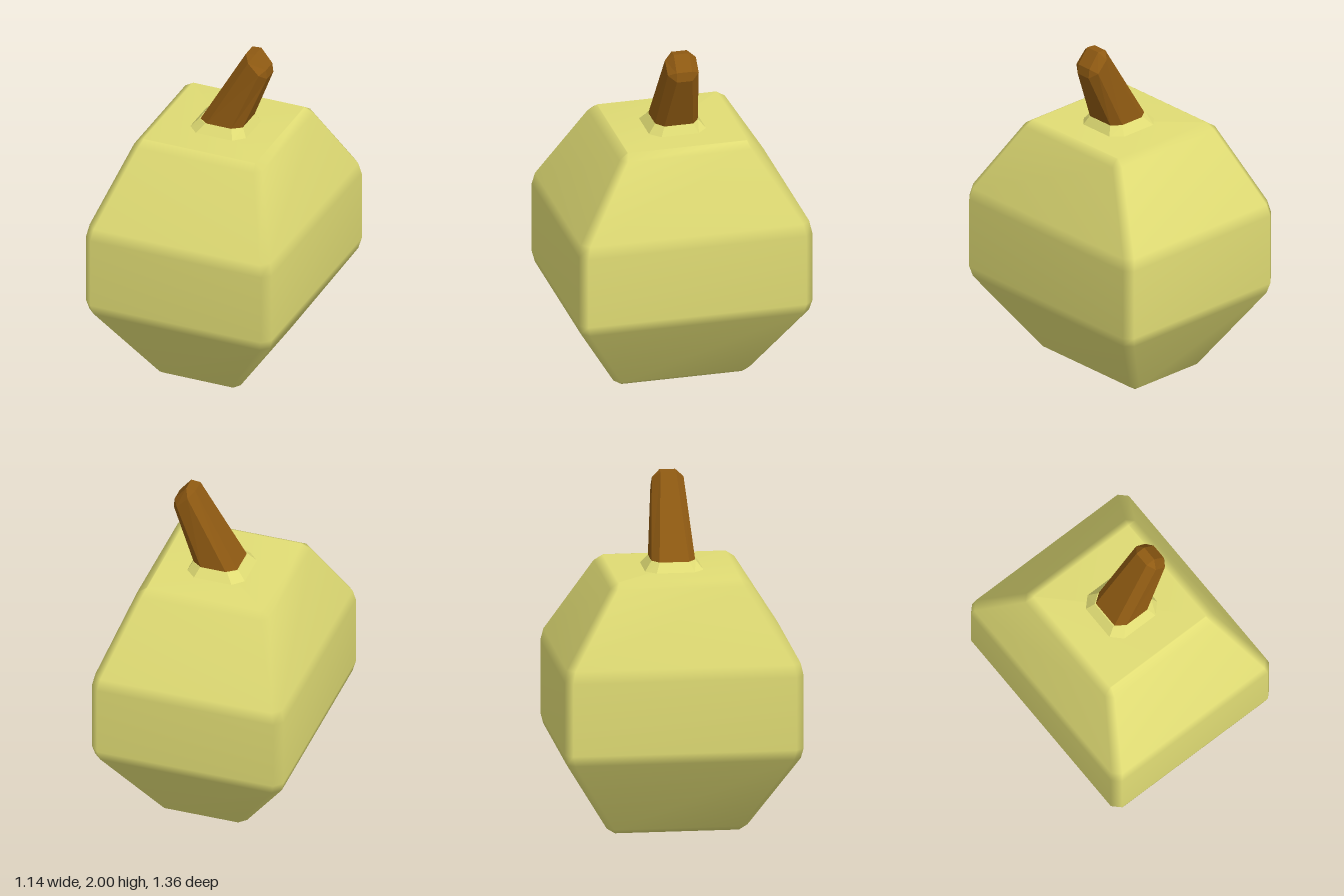
import * as THREE from 'three';

// Rectangle with cut corners, counter-clockwise from above; height runs from yL (at x0) to yR (at x1)
function ring(x0, x1, hz, cx, cz, yL, yR = yL) {
  const a = x0 + cx, b = x1 - cx, s = hz - cz;
  return [[x1, s], [x1, -s], [b, -hz], [a, -hz], [x0, -s], [x0, s], [a, hz], [b, hz]]
    .map(([x, z]) => [x, yL + (yR - yL) * (x - x0) / (x1 - x0), z]);
}

// Skin a stack of rings and close both ends
function loft(rings) {
  const n = rings[0].length, index = [];
  const last = (rings.length - 1) * n;
  for (let r = 0; r < rings.length - 1; r++) {
    for (let i = 0; i < n; i++) {
      const j = (i + 1) % n, a = r * n + i, b = r * n + j;
      index.push(a, b, b + n, a, b + n, a + n);
    }
  }
  for (let i = 1; i < n - 1; i++) {
    index.push(0, i + 1, i);
    index.push(last, last + i, last + i + 1);
  }
  const geometry = new THREE.BufferGeometry();
  geometry.setAttribute('position', new THREE.Float32BufferAttribute(rings.flat(2), 3));
  geometry.setIndex(index);
  geometry.computeVertexNormals(); // area weighted: broad faces stay flat, bevels blend
  return geometry;
}

export function createModel() {
  const group = new THREE.Group();
  const add = (name, rings, color, flatShading) => {
    const material = new THREE.MeshStandardMaterial({ color, flatShading });
    const mesh = new THREE.Mesh(loft(rings), material);
    mesh.name = name;
    group.add(mesh);
  };

  // Bevelled gourd body: half width, half depth, corner cut, height
  const body = [
    [0.215, 0.355, 0.005, 0],
    [0.26, 0.4, 0.04, 0.03],
    [0.555, 0.665, 0.045, 0.475],
    [0.57, 0.68, 0.045, 0.535],
    [0.57, 0.68, 0.045, 0.955],
    [0.555, 0.665, 0.045, 1.025],
    [0.395, 0.4, 0.04, 1.45],
    [0.345, 0.35, 0.005, 1.485],
  ].map(([x, z, c, y]) => ring(-x, x, z, c, c, y));
  add('body', body, 0xe0dc74, false);

  // Flared collar around the foot of the stem
  add('collar', [
    ring(-0.165, 0.185, 0.17, 0.06, 0.06, 1.48),
    ring(-0.115, 0.155, 0.125, 0.055, 0.04, 1.535),
  ], 0xe0dc74, true);

  // Leaning, tapered stem with a bevelled slanted tip
  add('stem', [
    ring(-0.11, 0.15, 0.125, 0.055, 0.04, 1.53),
    ring(0.155, 0.284, 0.09, 0.032, 0.045, 1.995, 1.86),
    ring(0.21, 0.278, 0.045, 0, 0, 2.0, 1.915),
  ], 0x8f5a12, true);

  return group;
}
